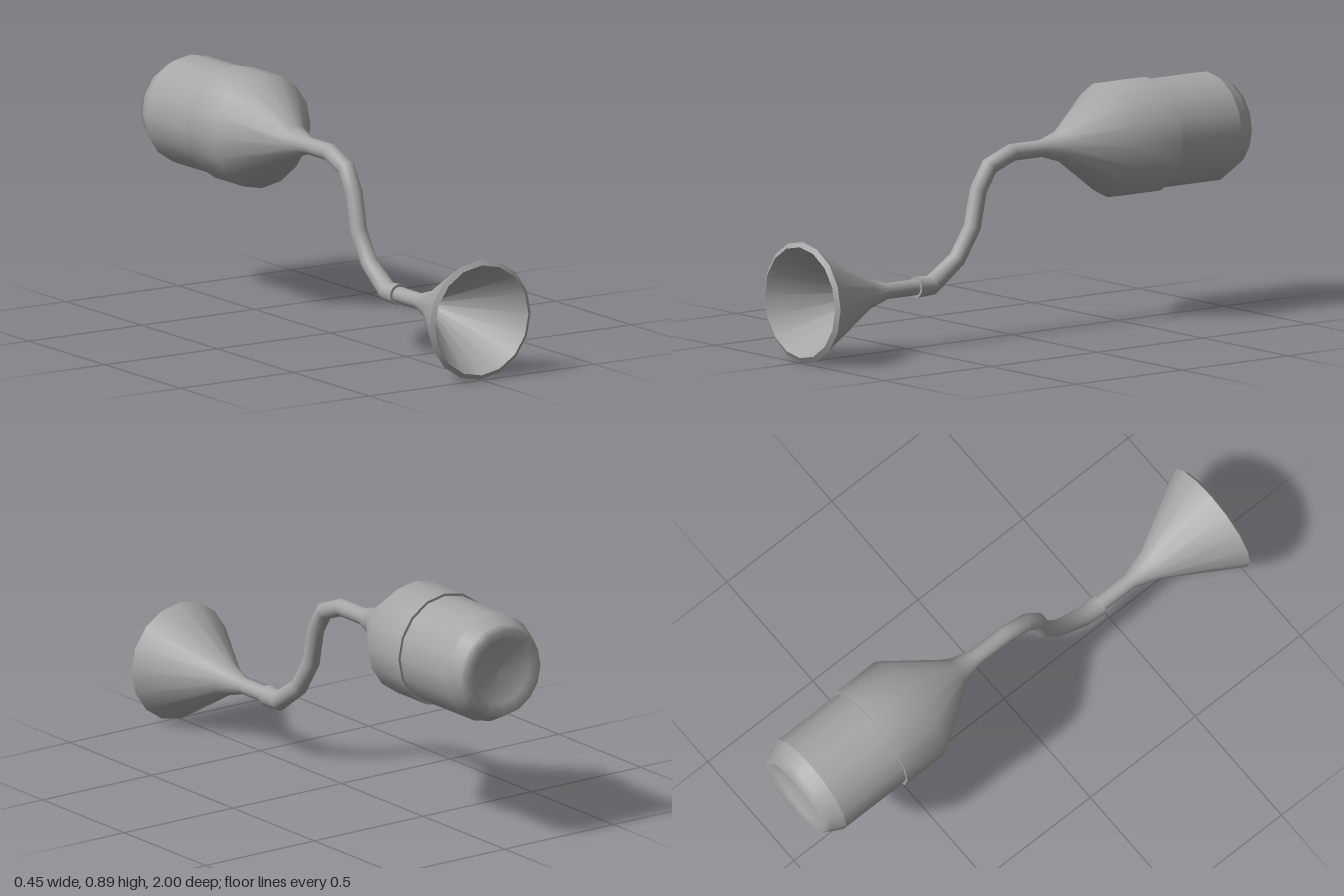
import * as THREE from 'three';

const SIDES = 16;
const grey = new THREE.MeshStandardMaterial({ color: 0xa6a6a6 });
grey.name = 'plain grey';

function add(group, name, geometry, y = 0, z = 0) {
  const mesh = new THREE.Mesh(geometry, grey);
  mesh.name = name;
  mesh.position.set(0, y, z);
  group.add(mesh);
}

// Round part about the z axis, profile given as [radius, z] from back to front
function turned(profile) {
  const points = profile.map(([r, z]) => new THREE.Vector2(r, z));
  return new THREE.LatheGeometry(points, SIDES).rotateX(Math.PI / 2);
}

// Pipe swept in the yz plane with mitred joints, stations given as [z, y, radius]
function sweep(stations) {
  const positions = [], index = [];
  const angleAt = (i) => {
    const [z0, y0] = stations[i], [z1, y1] = stations[i + 1];
    return Math.atan2(y1 - y0, z1 - z0);
  };
  const last = stations.length - 1;
  stations.forEach(([z, y, r], i) => {
    const before = angleAt(Math.max(i - 1, 0));
    const after = angleAt(Math.min(i, last - 1));
    const tilt = (before + after) / 2;
    const mitre = 1 / Math.cos((after - before) / 2);
    for (let k = 0; k < SIDES; k++) {
      const a = (k / SIDES) * Math.PI * 2;
      const up = r * Math.cos(a) * mitre;
      positions.push(r * Math.sin(a), y + up * Math.cos(tilt), z - up * Math.sin(tilt));
      if (i < last) {
        const p = i * SIDES + k, q = i * SIDES + (k + 1) % SIDES;
        index.push(p, p + SIDES, q, q, p + SIDES, q + SIDES);
      }
    }
  });
  const geometry = new THREE.BufferGeometry();
  geometry.setAttribute('position', new THREE.Float32BufferAttribute(positions, 3));
  geometry.setIndex(index);
  geometry.computeVertexNormals();
  return geometry;
}

export function createModel() {
  const model = new THREE.Group();
  model.name = 'funnelAndCanister';
  const highY = 0.685, lowY = 0.23;

  // Canister with a dished base
  add(model, 'canisterBase', turned([
    [0, -0.96], [0.07, -0.965], [0.125, -0.98], [0.165, -1],
    [0.18, -0.97], [0.205, -0.92],
  ]), highY);
  add(model, 'canisterWall', turned([[0.205, -0.92], [0.205, -0.5]]), highY);

  // Sleeve over the canister, narrowing into the bent pipe
  add(model, 'sleeveEdge', turned([[0.2, -0.635], [0.215, -0.635]]), highY);
  add(model, 'sleeveAndPipe', sweep([
    [-0.635, highY, 0.215], [-0.45, highY, 0.215], [-0.23, highY, 0.06],
    [-0.14, highY, 0.032], [0, highY, 0.032], [0.105, 0.645, 0.032],
    [0.158, 0.561, 0.032], [0.187, 0.425, 0.032], [0.26, 0.313, 0.032],
    [0.38, lowY, 0.036], [0.455, lowY, 0.04],
  ]));
  add(model, 'pipeEnd', new THREE.CircleGeometry(0.04, SIDES).rotateZ(Math.PI / 2), lowY, 0.455);

  // Funnel with a bevelled rim
  add(model, 'funnelOutside', turned([
    [0.03, 0.4], [0.03, 0.595], [0.061, 0.695], [0.225, 0.988],
  ]), lowY);
  add(model, 'funnelRim', turned([[0.225, 0.988], [0.207, 1]]), lowY);
  add(model, 'funnelInside', turned([[0.207, 1], [0.012, 0.65]]), lowY);
  add(model, 'funnelBottom', new THREE.CircleGeometry(0.012, SIDES), lowY, 0.65);

  return model;
}
